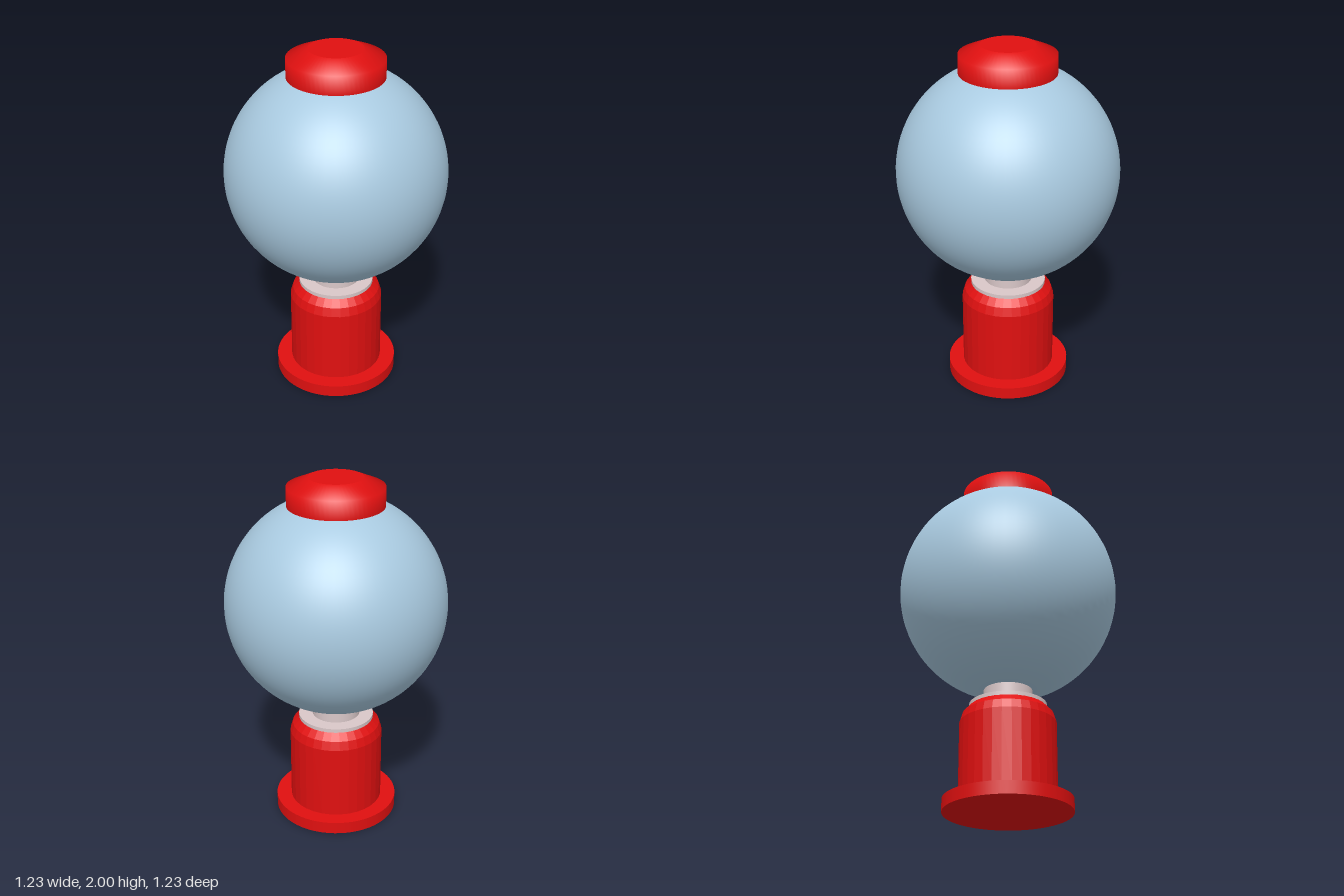
import * as THREE from 'three';

export function createModel() {
  const model = new THREE.Group();
  model.name = 'candyDispenser';

  const material = (name, color) => {
    const m = new THREE.MeshStandardMaterial({ color });
    m.name = name;
    return m;
  };
  const red = material('red', 0xe01010);
  const glass = material('paleBlueGlass', 0xa9cae0);
  const metal = material('paleMetal', 0xdac8c9);

  const add = (name, geometry, mat, y = 0) => {
    const mesh = new THREE.Mesh(geometry, mat);
    mesh.name = name;
    mesh.position.y = y;
    model.add(mesh);
    return mesh;
  };
  // Upright disc or drum from y0 to y1
  const drum = (name, radius, y0, y1, mat) =>
    add(name, new THREE.CylinderGeometry(radius, radius, y1 - y0, 64), mat, (y0 + y1) / 2);
  const lathe = (points, segments) =>
    new THREE.LatheGeometry(points.map(([r, y]) => new THREE.Vector2(r, y)), segments);

  // Foot
  drum('footPlate', 0.35, 0, 0.07, red);

  // Faceted body with a rounded shoulder
  const body = lathe([[0.265, 0.07], [0.265, 0.495], [0.25, 0.545], [0.212, 0.585], [0, 0.585]], 32).toNonIndexed();
  body.computeVertexNormals();
  add('body', body, red);

  // Collar and neck
  drum('collar', 0.213, 0.583, 0.605, metal);
  drum('neck', 0.135, 0.605, 0.72, metal);

  // Globe
  add('globe', new THREE.SphereGeometry(0.615, 64, 48), glass, 1.287);

  // Lid: softly shaded rim and bevel, flat top and underside
  add('lidRim', lathe([[0.265, 1.845], [0.265, 1.95], [0.148, 2]], 64), red);
  const lidTop = add('lidTop', new THREE.CircleGeometry(0.148, 64), red, 2);
  lidTop.rotation.x = -Math.PI / 2;
  const lidUnderside = add('lidUnderside', new THREE.CircleGeometry(0.265, 64), red, 1.845);
  lidUnderside.rotation.x = Math.PI / 2;

  return model;
}
